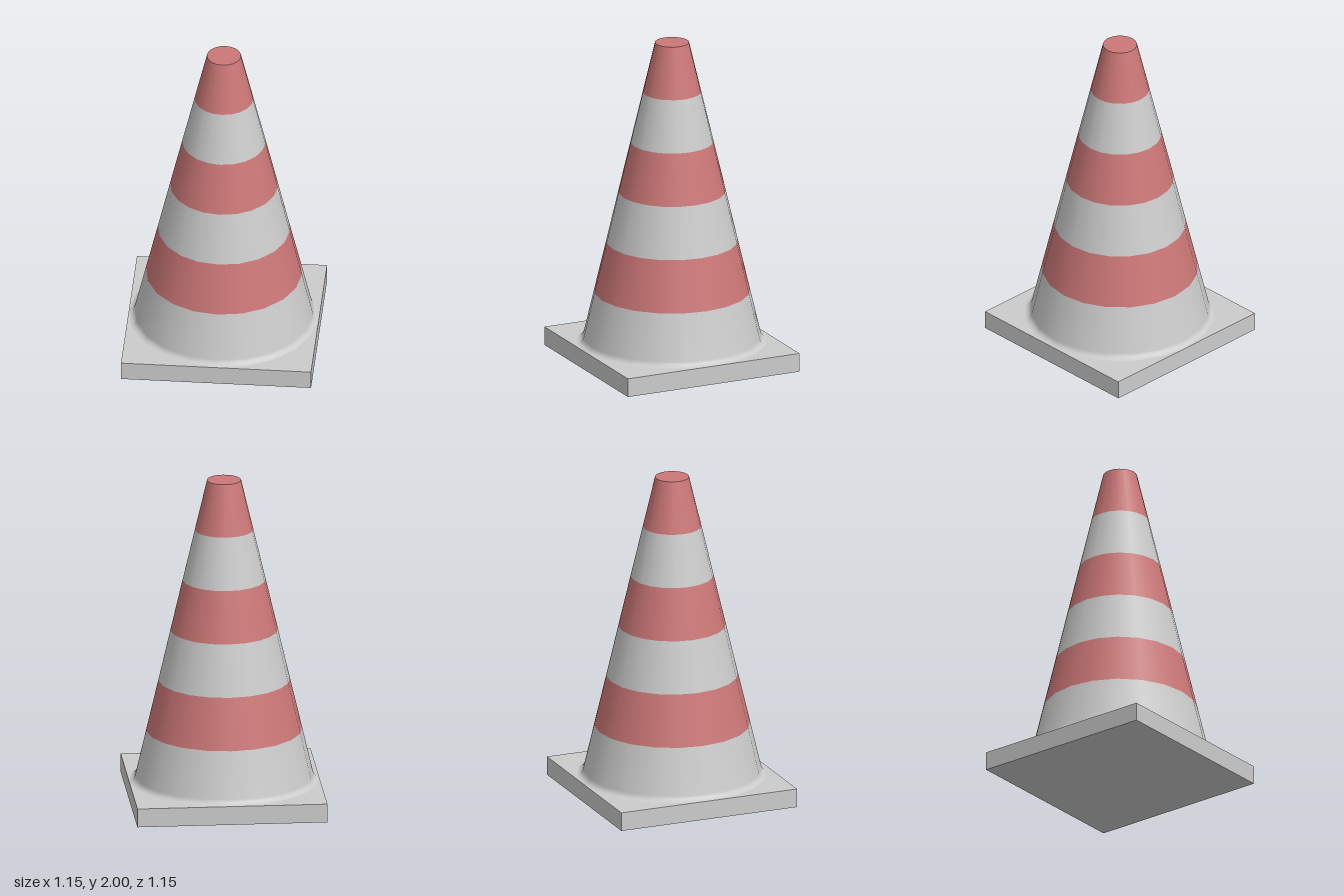
import * as THREE from 'three';

const SIDES = 20;
const grey = new THREE.MeshStandardMaterial({ color: 0xcccccc });
const red = new THREE.MeshStandardMaterial({ color: 0xcc7777 });

export function createModel() {
  const group = new THREE.Group();
  const add = (name, geometry, material, y = 0) => {
    const mesh = new THREE.Mesh(geometry, material);
    mesh.name = name;
    mesh.position.y = y;
    group.add(mesh);
    return mesh;
  };
  const lathe = (points) =>
    new THREE.LatheGeometry(points.map(([r, y]) => new THREE.Vector2(r, y)), SIDES);

  // Square foot
  add('base', new THREE.BoxGeometry(1.15, 0.115, 1.15), grey, 0.0575);

  // Lowest band, flaring out onto the foot
  add('flaredSkirt', lathe([
    [0.573, 0.115], [0.558, 0.12], [0.547, 0.13], [0.539, 0.147], [0.472, 0.432],
  ]), grey);

  // Straight bands of the cone, alternating in colour
  const rings = [
    [0.472, 0.432], [0.398, 0.746], [0.325, 1.06], [0.251, 1.374], [0.177, 1.688], [0.103, 2],
  ];
  for (let i = 0; i < rings.length - 1; i++) {
    const isRed = i % 2 === 0;
    add(`${isRed ? 'red' : 'grey'}Band${i + 1}`, lathe([rings[i], rings[i + 1]]), isRed ? red : grey);
  }

  // Closed flat tip
  const tip = add('tipCap', new THREE.CircleGeometry(0.103, SIDES), red, 2);
  tip.rotation.x = -Math.PI / 2;

  return group;
}
